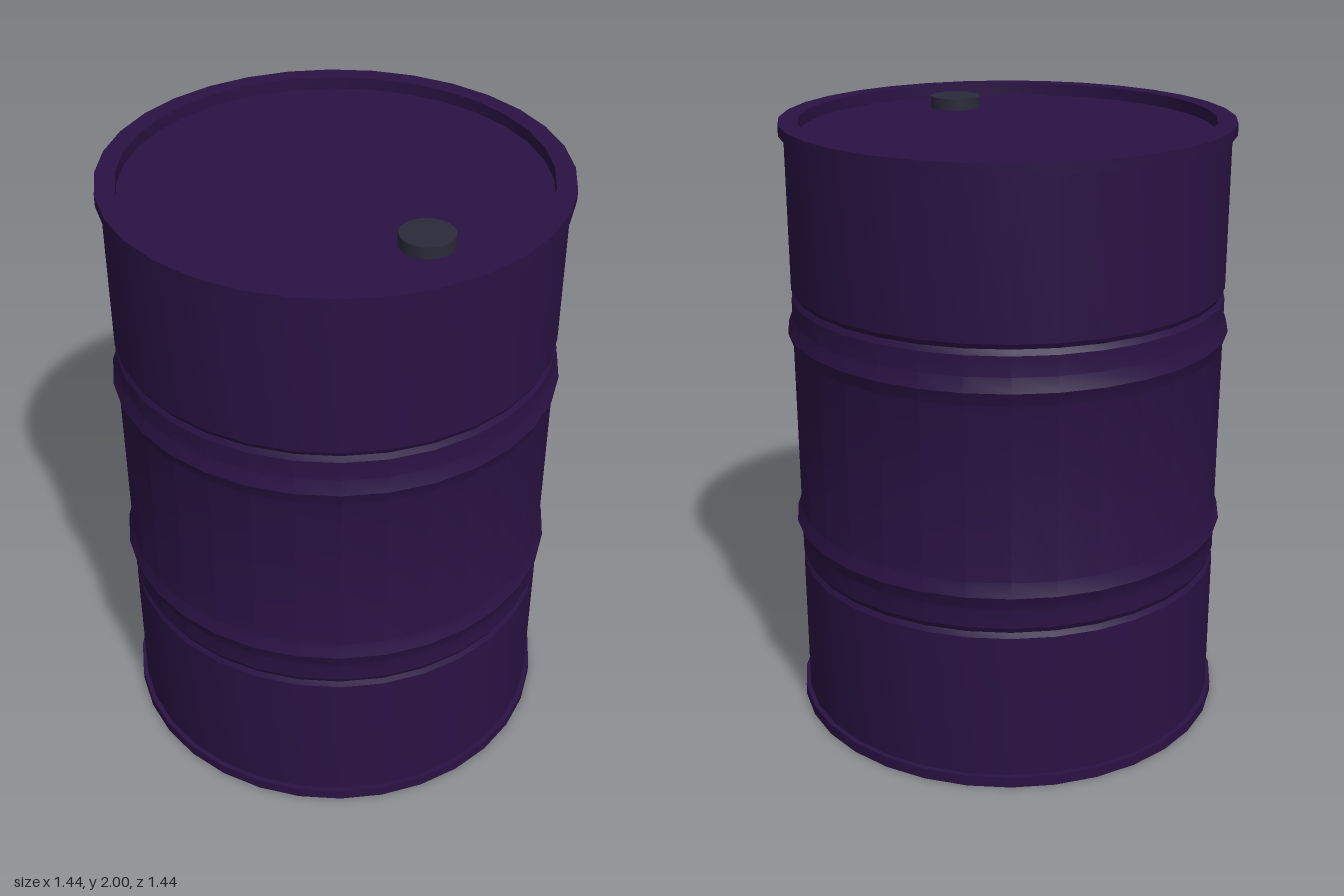
import * as THREE from 'three';
import { toCreasedNormals } from 'three/addons/utils/BufferGeometryUtils.js';

const SIDES = 32;
const R = 0.706;      // shell radius
const RIM = 0.722;    // rim and rib radius
const GROOVE = 0.697; // groove radius

export function createModel() {
  const model = new THREE.Group();
  model.name = 'drum';
  const paint = new THREE.MeshStandardMaterial({ color: 0x2a1243 });
  const capPaint = new THREE.MeshStandardMaterial({ color: 0x2a2a3a });

  // Lower half of the side profile: rim, groove, rib
  const half = [
    [RIM, 0], [RIM, 0.036], [R, 0.036],
    [R, 0.525], [GROOVE, 0.542], [R, 0.56],
    [R, 0.625], [RIM, 0.67], [R, 0.715],
  ];
  // The upper half mirrors it; then the rim top steps down to the sunken lid
  const mirrored = half.map(([r, y]) => [r, 2 - y]).reverse();
  const profile = [[0, 0], ...half, ...mirrored, [0.66, 2], [0.66, 1.96], [0, 1.96]];

  const shell = new THREE.LatheGeometry(
    profile.map(([r, y]) => new THREE.Vector2(r, y)), SIDES);
  const barrel = new THREE.Mesh(toCreasedNormals(shell, 0.35), paint);
  barrel.name = 'barrel';
  model.add(barrel);

  // Filler cap on the lid
  const cap = new THREE.Mesh(new THREE.CylinderGeometry(0.083, 0.083, 0.04, 32), capPaint);
  cap.name = 'fillerCap';
  cap.position.set(0.45, 1.978, 0);
  model.add(cap);

  return model;
}
